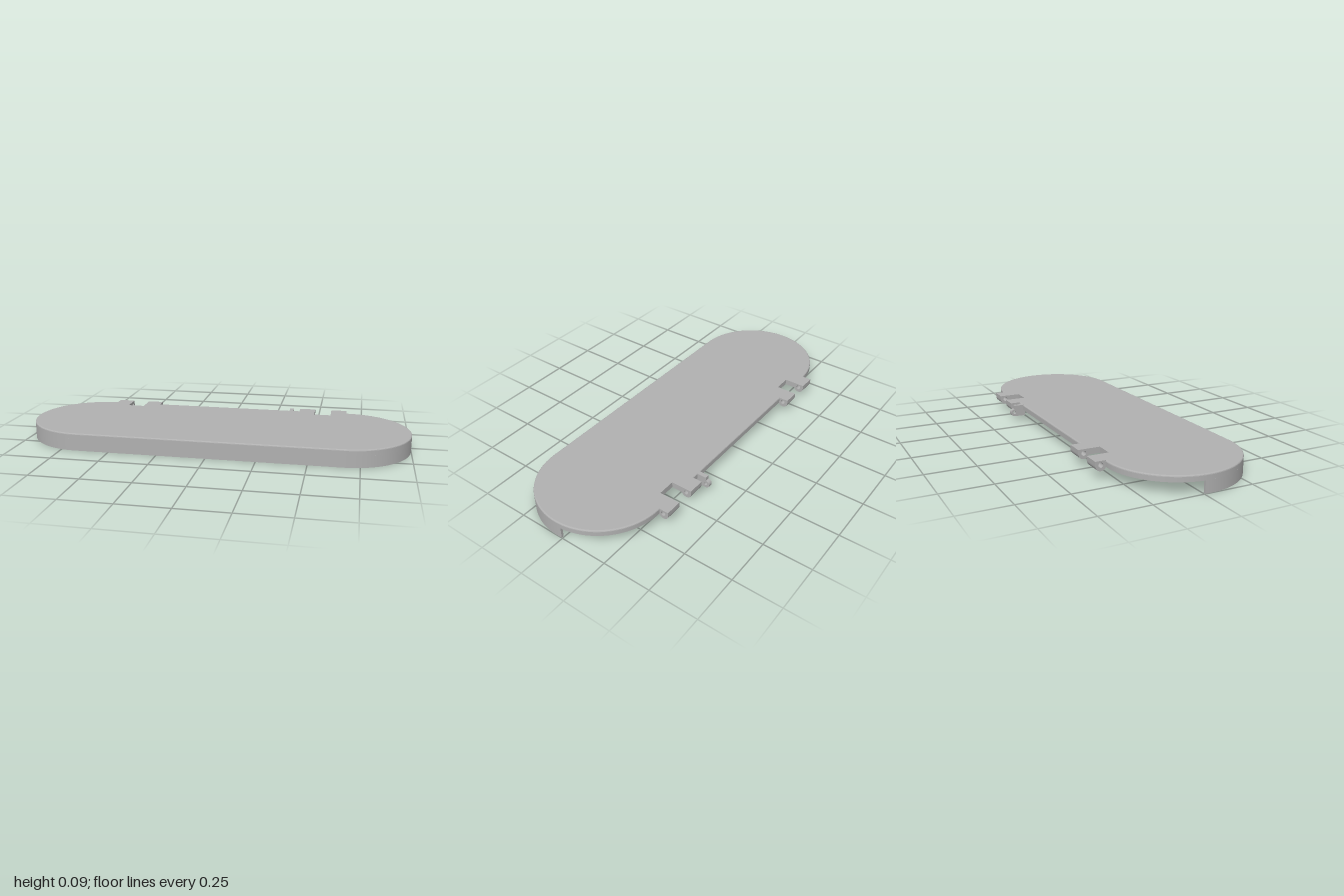
import * as THREE from 'three';
import { toCreasedNormals } from 'three/addons/utils/BufferGeometryUtils.js';

const CX = 0.67, CV = -0.035, R = 0.33;   // end-arc centres and radius (plan v = -z)
const NOTCH = 0.535, HALF = 0.045;        // hinge notch centre and half width
const BEVEL = 0.007, WALL = 0.012;

// Creases at full precision by working at a larger scale
function crease(geo) {
  return toCreasedNormals(geo.scale(1000, 1000, 1000), 0.2).scale(0.001, 0.001, 0.001);
}

// Plan shape pulled upward from height y
function extrudeUp(shape, y, depth, options = {}) {
  const geo = new THREE.ExtrudeGeometry(shape, { depth, curveSegments: 36, bevelEnabled: false, ...options });
  return geo.rotateX(-Math.PI / 2).translate(0, y, 0);
}

// Side profile (-z, y) pulled along x
function extrudeAcross(shape, x, depth) {
  const geo = new THREE.ExtrudeGeometry(shape, { depth, curveSegments: 20, bevelEnabled: false });
  return crease(geo.rotateY(Math.PI / 2).translate(x, 0, 0));
}

function addHole(shape, a, y, r) {
  const hole = new THREE.Path();
  hole.absarc(a, y, r, 0, Math.PI * 2, true);
  shape.holes.push(hole);
}

// Rounded lid outline with two hinge notches in the back edge
function lidOutline() {
  const s = new THREE.Shape(), back = CV + R, deep = 0.235;
  s.moveTo(-CX, CV - R);
  s.lineTo(CX, CV - R);
  s.absarc(CX, CV, R, -Math.PI / 2, Math.PI / 2, false);
  for (const c of [NOTCH, -NOTCH]) {
    s.lineTo(c + HALF, back);
    s.lineTo(c + HALF, deep);
    s.lineTo(c - HALF, deep);
    s.lineTo(c - HALF, back);
  }
  s.lineTo(-CX, back);
  s.absarc(-CX, CV, R, Math.PI / 2, Math.PI * 1.5, false);
  return s;
}

// Lid plate: rounded upper edge, flat underside, square notch walls
function lidGeometry() {
  const geo = extrudeUp(lidOutline(), 0.06, 0.023, {
    bevelEnabled: true, bevelThickness: BEVEL, bevelSize: BEVEL, bevelOffset: -BEVEL, bevelSegments: 3,
  });
  const p = geo.attributes.position;
  for (let i = 0; i < p.count; i++) {
    p.setY(i, Math.max(p.getY(i), 0.06));
    const x = p.getX(i), off = Math.abs(x) - NOTCH;
    if (Math.abs(off) < HALF + BEVEL + 0.002 && p.getZ(i) < -0.2) {
      p.setX(i, Math.sign(x) * (NOTCH + Math.sign(off) * HALF));
      if (p.getZ(i) > -0.25) p.setZ(i, -0.235);
    }
  }
  return crease(geo);
}

// Thin skirt that wraps the front half
function skirtGeometry() {
  const s = new THREE.Shape(), r = R - WALL;
  const a = Math.asin(0.03 / R), b = Math.asin(0.03 / r);
  s.absarc(-CX, CV, R, Math.PI - a, Math.PI * 1.5, false);
  s.absarc(CX, CV, R, -Math.PI / 2, a, false);
  s.absarc(CX, CV, r, b, -Math.PI / 2, true);
  s.absarc(-CX, CV, r, Math.PI * 1.5, Math.PI - b, true);
  s.closePath();
  return crease(extrudeUp(s, 0, 0.06));
}

// Hinge knuckle: square on top, round below, bored for a pin
function knuckleShape() {
  const s = new THREE.Shape();
  s.moveTo(0.283, 0.09);
  s.lineTo(0.283, 0.07);
  s.absarc(0.317, 0.07, 0.028, Math.PI, Math.PI * 2, false);
  s.lineTo(0.345, 0.09);
  s.closePath();
  addHole(s, 0.317, 0.07, 0.012);
  return s;
}

// Lever tab with a round, bored nose
function tabShape() {
  const s = new THREE.Shape();
  s.moveTo(0.285, 0.09);
  s.lineTo(0.285, 0.03);
  s.lineTo(0.345, 0.03);
  s.absarc(0.345, 0.05, 0.02, -Math.PI / 2, Math.PI / 2, false);
  s.lineTo(0.345, 0.09);
  s.closePath();
  addHole(s, 0.345, 0.05, 0.008);
  return s;
}

export function createModel() {
  const group = new THREE.Group();
  const grey = new THREE.MeshStandardMaterial({ color: 0xb0b0b0 });
  grey.name = 'plain grey';

  const add = (name, geo) => {
    const mesh = new THREE.Mesh(geo, grey);
    mesh.name = name;
    group.add(mesh);
  };

  add('lidPlate', lidGeometry());
  add('frontSkirt', skirtGeometry());

  // Knuckles on both sides of each notch
  for (const side of [-1, 1]) {
    for (const offset of [-0.0875, 0.0875]) {
      add('hingeKnuckle', extrudeAcross(knuckleShape(), side * NOTCH + offset - 0.0425, 0.085));
    }
  }
  add('leverTab', extrudeAcross(tabShape(), 0.348, 0.022));
  return group;
}
